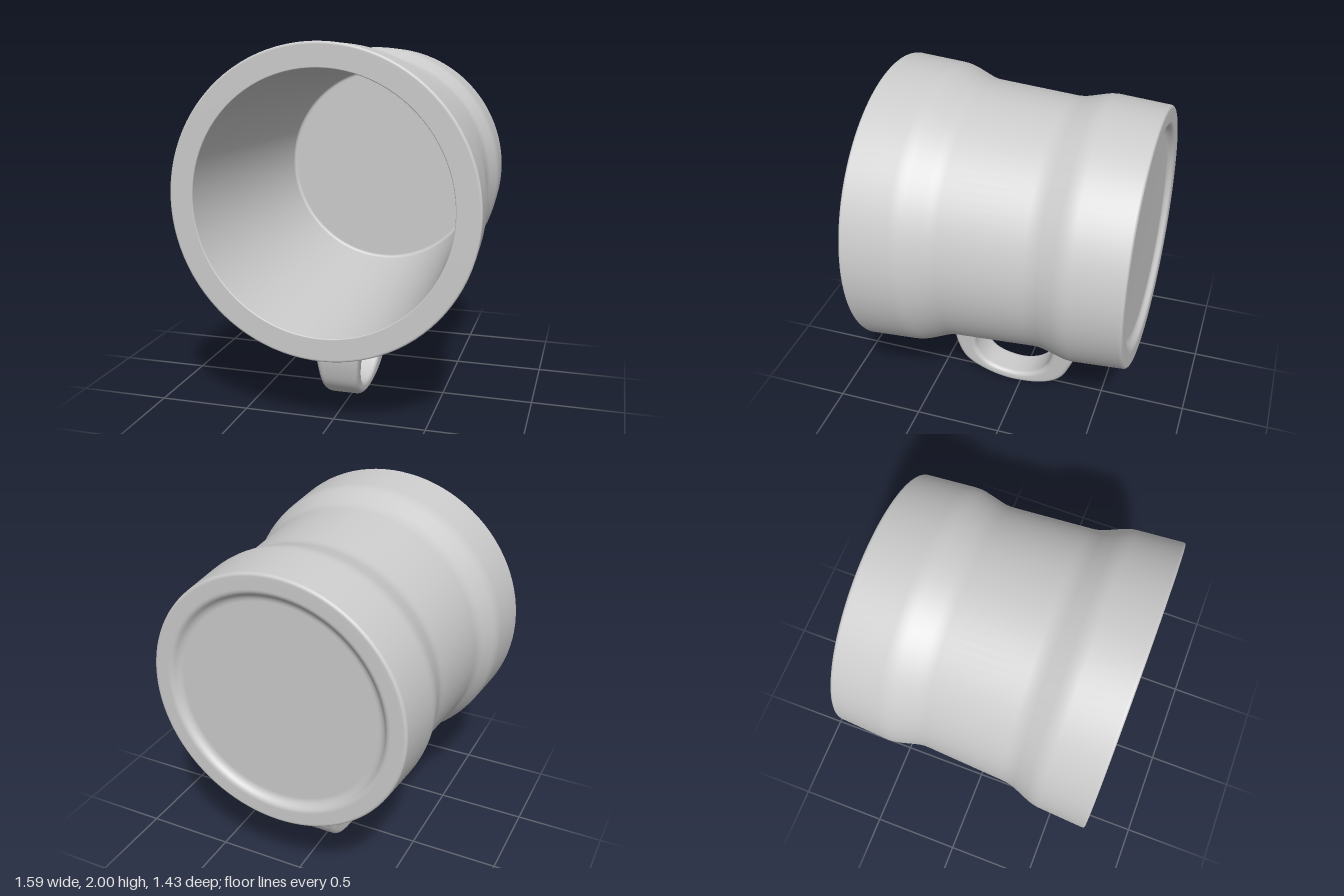
import * as THREE from 'three';

const material = new THREE.MeshStandardMaterial({ color: 0xcccccc, roughness: 0.7 });
const AXIS_HEIGHT = 1.205;

// Rounds the corners of a profile given as [radius, height, rounding].
function roundedProfile(corners) {
  const out = [];
  corners.forEach(([r, h, round], i) => {
    const p = new THREE.Vector2(r, h);
    if (!round) { out.push(p); return; }
    const toward = ([qr, qh]) => {
      const d = new THREE.Vector2(qr, qh).sub(p);
      return p.clone().addScaledVector(d.normalize(), round);
    };
    const curve = new THREE.QuadraticBezierCurve(toward(corners[i - 1]), p, toward(corners[i + 1]));
    out.push(...curve.getPoints(5));
  });
  return out;
}

// Cup: one closed-wall turned shape, lying with its mouth toward +z.
function makeCup() {
  const profile = roundedProfile([
    [0, -0.68, 0],
    [0.575, -0.68, 0.025],   // recessed base
    [0.605, -0.715, 0.018],
    [0.705, -0.715, 0.018],  // back foot
    [0.726, -0.40, 0.04],
    [0.684, -0.24, 0.04],    // waist
    [0.715, 0.27, 0.04],
    [0.777, 0.42, 0.04],
    [0.796, 0.715, 0.015],   // mouth rim
    [0.67, 0.715, 0.006],
    [0.59, -0.60, 0.02],     // inner floor
    [0, -0.60, 0],
  ]);
  const cup = new THREE.Mesh(new THREE.LatheGeometry(profile, 96), material);
  cup.name = 'cup';
  cup.rotation.x = Math.PI / 2;
  cup.position.y = AXIS_HEIGHT;
  return cup;
}

// Handle: rounded-rectangle sections swept between an outer and an inner curve.
function makeHandle() {
  const curveZY = (pts) => new THREE.CatmullRomCurve3(pts.map(([z, y]) => new THREE.Vector3(0, y, z)));
  const outer = curveZY([[0.43, 0.52], [0.415, 0.41], [0.395, 0.25], [0.345, 0.125], [0.22, 0.04],
    [0.05, 0.005], [-0.14, 0.035], [-0.25, 0.105], [-0.32, 0.24], [-0.385, 0.44], [-0.415, 0.535]]);
  const inner = curveZY([[0.255, 0.53], [0.275, 0.45], [0.28, 0.33], [0.27, 0.21], [0.205, 0.115],
    [0.06, 0.073], [-0.07, 0.10], [-0.16, 0.18], [-0.205, 0.31], [-0.228, 0.46], [-0.245, 0.55]]);
  const steps = 60, cornerSteps = 4, ring = 4 * (cornerSteps + 1);
  const positions = [], index = [];

  for (let i = 0; i <= steps; i++) {
    const o = outer.getPoint(i / steps), n = inner.getPoint(i / steps);
    const mid = o.clone().add(n).multiplyScalar(0.5);
    const dir = o.clone().sub(n);
    const halfDepth = dir.length() / 2;
    dir.normalize();
    // Widens toward the cup, with a small flare at the joints
    const flare = 0.03 * Math.max(0, (mid.y - 0.41) / 0.12) ** 2;
    const halfWidth = 0.086 + 0.105 * mid.y + flare;
    const radius = Math.min(0.028, halfDepth * 0.75);
    for (let c = 0; c < 4; c++) {
      const sx = c === 0 || c === 3 ? 1 : -1, sn = c < 2 ? 1 : -1;
      for (let k = 0; k <= cornerSteps; k++) {
        const a = (c + k / cornerSteps) * Math.PI / 2;
        const u = sx * (halfWidth - radius) + radius * Math.cos(a);
        const v = sn * (halfDepth - radius) + radius * Math.sin(a);
        positions.push(u - 0.012, mid.y + dir.y * v, mid.z + dir.z * v);
      }
    }
  }
  for (let i = 0; i < steps; i++) {
    for (let j = 0; j < ring; j++) {
      const a = i * ring + j, b = i * ring + (j + 1) % ring;
      index.push(a, b, a + ring, b, b + ring, a + ring);
    }
  }
  const geometry = new THREE.BufferGeometry();
  geometry.setAttribute('position', new THREE.Float32BufferAttribute(positions, 3));
  geometry.setIndex(index);
  geometry.computeVertexNormals();
  const handle = new THREE.Mesh(geometry, material);
  handle.name = 'handle';
  return handle;
}

export function createModel() {
  const mug = new THREE.Group();
  mug.name = 'mug';
  mug.add(makeCup(), makeHandle());
  return mug;
}
